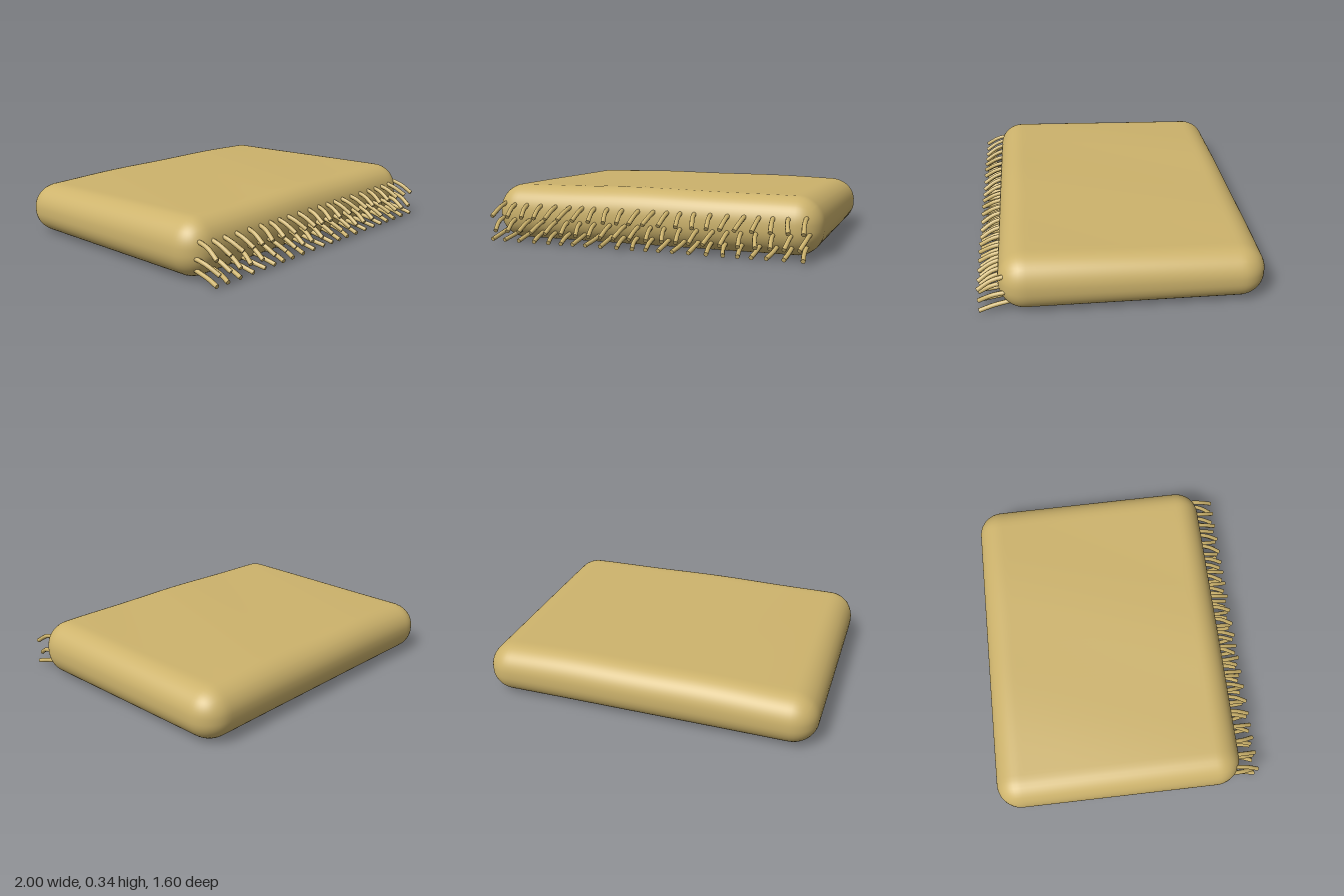
import * as THREE from 'three';
import { mergeVertices } from 'three/addons/utils/BufferGeometryUtils.js';

const cloth = new THREE.MeshStandardMaterial({ color: 0xcdb36c });
cloth.name = 'mustard cloth';

// Soft folded slab: a box rounded by a rule, then gently sagged on top
function blanketGeometry() {
  const half = new THREE.Vector3(1, 0.16, 0.745);
  const radius = 0.15;
  const core = half.clone().subScalar(radius);
  let g = new THREE.BoxGeometry(2, 0.32, 1.49, 72, 16, 56);
  g.deleteAttribute('uv');
  g.deleteAttribute('normal');
  g = mergeVertices(g, 1e-4);
  const pos = g.attributes.position;
  const p = new THREE.Vector3();
  const inner = new THREE.Vector3();
  for (let i = 0; i < pos.count; i++) {
    p.fromBufferAttribute(pos, i);
    inner.copy(p).clamp(core.clone().negate(), core);
    p.sub(inner).setLength(radius).add(inner);
    const up = (p.y + half.y) / (2 * half.y);
    // Higher toward the front and the middle, with a faint ripple
    const rise = 0.016 * p.z / half.z + 0.014 * (1 - p.x * p.x) - 0.008
      + 0.002 * Math.sin(p.x * 7 + p.z * 3);
    p.y += half.y + 0.004 + up * rise;
    p.z -= 0.055;
    pos.setXYZ(i, p.x, p.y, p.z);
  }
  g.computeVertexNormals();
  return g;
}

// One drooping tassel with a closed tip
function strand(x, lean, rootY, midY, tipY) {
  const group = new THREE.Group();
  group.name = 'fringeStrand';
  const curve = new THREE.CatmullRomCurve3([
    new THREE.Vector3(x - lean, rootY, 0.62),
    new THREE.Vector3(x - lean * 0.5, midY, 0.72),
    new THREE.Vector3(x + lean, tipY, 0.797),
  ]);
  const tube = new THREE.Mesh(new THREE.TubeGeometry(curve, 8, 0.013, 8), cloth);
  tube.name = 'strandCord';
  const cap = new THREE.Mesh(new THREE.CircleGeometry(0.013, 8), cloth);
  cap.name = 'strandTip';
  cap.position.copy(curve.getPoint(1));
  cap.quaternion.setFromUnitVectors(new THREE.Vector3(0, 0, 1), curve.getTangent(1));
  group.add(tube, cap);
  return group;
}

export function createModel() {
  const model = new THREE.Group();
  model.name = 'foldedBlanket';
  const body = new THREE.Mesh(blanketGeometry(), cloth);
  body.name = 'blanketBody';
  model.add(body);

  // Three rows of fringe, one for each fold: root, middle and tip heights
  const rows = [
    [0.235, 0.21, 0.163],
    [0.145, 0.122, 0.077],
    [0.07, 0.047, 0.025],
  ];
  const count = 22;
  rows.forEach((heights, r) => {
    const fringe = new THREE.Group();
    fringe.name = 'fringeRow';
    for (let i = 0; i < count; i++) {
      const x = -0.925 + (1.85 * i) / (count - 1);
      const lean = 0.014 * Math.sin(((i - 0.5 + r * 2) * Math.PI) / 3);
      fringe.add(strand(x, lean, ...heights));
    }
    model.add(fringe);
  });
  return model;
}
